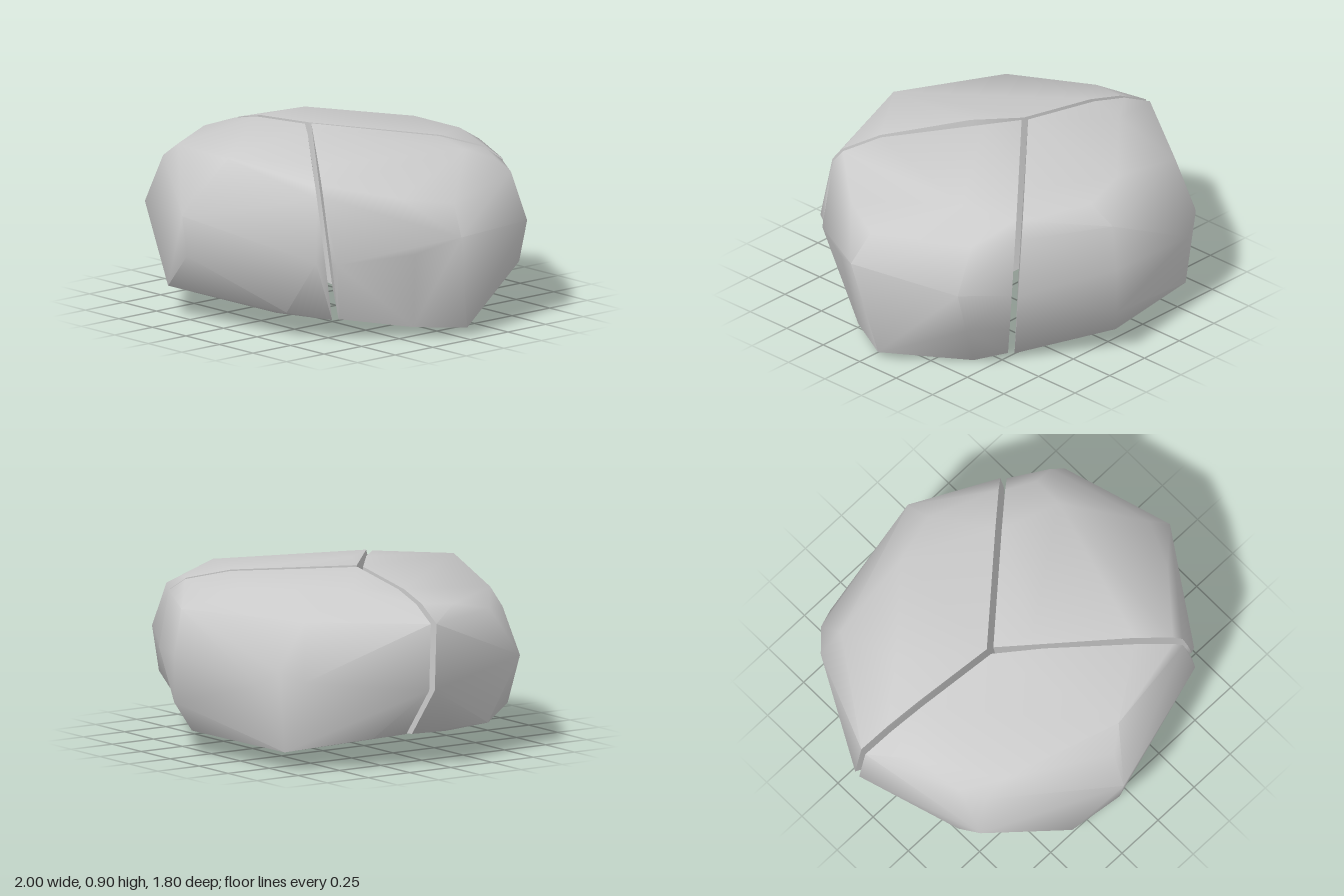
import * as THREE from 'three';
import { ConvexGeometry } from 'three/addons/geometries/ConvexGeometry.js';
import { toCreasedNormals } from 'three/addons/utils/BufferGeometryUtils.js';

const HALF_GAP = 0.016;
const vec = (p) => new THREE.Vector3(...p);

// The three cracks meet along a slanted line through the boulder
const AXIS = [vec([-0.2, 0.895, 0.01]), vec([-0.09, 0.085, -0.03])];

// Outer edge of each crack from crest to foot; the first point fixes its plane
const CRACKS = {
  front: [[0.62, 0.42, 0.605], [0.4, 0.855, 0.42], [0.53, 0.79, 0.56], [0.57, 0.74, 0.59], [0.6, 0.57, 0.6], [0.55, 0.1, 0.48]],
  back: [[0.575, 0.45, -0.66], [0.3, 0.85, -0.42], [0.47, 0.8, -0.57], [0.53, 0.74, -0.63], [0.55, 0.23, -0.6], [0.46, 0.03, -0.52]],
  left: [[-0.98, 0.73, -0.09], [-0.63, 0.85, -0.05], [-0.82, 0.805, -0.07], [-1, 0.4, -0.11], [-0.79, 0.15, -0.12]],
};

// Remaining corners of each piece: crest, shoulder, widest line, then foot
const PIECES = {
  frontPiece: {
    cracks: ['front', 'left'],
    corners: [
      [0, 0.9, 0.19], [0, 0.86, 0.72], [-0.84, 0.79, 0.13], [-0.6, 0.8, 0.52],
      [-0.1, 0.74, 0.79], [-0.78, 0.73, 0.39], [-0.72, 0.72, 0.51],
      [-0.14, 0.57, 0.9], [-0.8, 0.48, 0.56], [0.59, 0.42, 0.66],
      [-0.14, 0.36, 0.87], [0.37, 0.13, 0.66], [-0.38, 0.155, 0.78], [-0.78, 0.155, 0.38],
      [-0.86, 0.17, 0.1], [-0.6, 0.1, 0.25], [0.23, 0.095, 0.6],
    ],
  },
  backPiece: {
    cracks: ['left', 'back'],
    corners: [
      [-0.56, 0.87, -0.29], [-0.16, 0.835, -0.66], [0.1, 0.81, -0.73],
      [-0.62, 0.74, -0.62], [0.09, 0.73, -0.87],
      [-0.7, 0.45, -0.68], [-0.61, 0.5, -0.77], [-0.5, 0.42, -0.82], [0.1, 0.5, -0.905], [0.1, 0.26, -0.905],
      [0.04, 0.12, -0.84], [-0.59, 0.09, -0.72], [-0.8, 0.15, -0.33],
    ],
  },
  leftPiece: {
    cracks: ['back', 'front'],
    corners: [
      [0, 0.905, 0.1], [0.6, 0.85, -0.32], [0.62, 0.78, -0.5],
      [0.73, 0.73, -0.51], [0.9, 0.68, 0.02], [0.78, 0.72, 0.27],
      [0.84, 0.5, -0.52], [1, 0.53, 0.06], [0.87, 0.45, 0.25], [0.66, 0.41, 0.58],
      [0.78, 0.28, -0.52], [0.6, 0, -0.4], [0.92, 0.04, -0.05], [0.8, 0.06, 0.2],
    ],
  },
};

function buildPiece(name, { cracks, corners }, material) {
  const points = corners.map(vec);
  const middle = points.reduce((sum, p) => sum.add(p), new THREE.Vector3()).divideScalar(points.length);

  // Project each crack edge onto its plane, then draw it back into the piece
  const normals = cracks.map((crack) => {
    const edge = CRACKS[crack].map(vec);
    const plane = new THREE.Plane().setFromCoplanarPoints(AXIS[0], AXIS[1], edge[0]);
    if (plane.distanceToPoint(middle) < 0) plane.negate();
    for (const p of edge) points.push(plane.projectPoint(p, new THREE.Vector3()).addScaledVector(plane.normal, HALF_GAP));
    return plane.normal;
  });

  // Inner edge, set back equally from both cracks
  const inward = normals[0].clone().add(normals[1]).multiplyScalar(HALF_GAP / (1 + normals[0].dot(normals[1])));
  for (const p of AXIS) points.push(p.clone().add(inward));

  const mesh = new THREE.Mesh(toCreasedNormals(new ConvexGeometry(points), 0.95), material);
  mesh.name = name;
  return mesh;
}

export function createModel() {
  const model = new THREE.Group();
  model.name = 'crackedBoulder';
  const material = new THREE.MeshStandardMaterial({ color: 0xcccccc });
  for (const [name, piece] of Object.entries(PIECES)) model.add(buildPiece(name, piece, material));
  return model;
}
